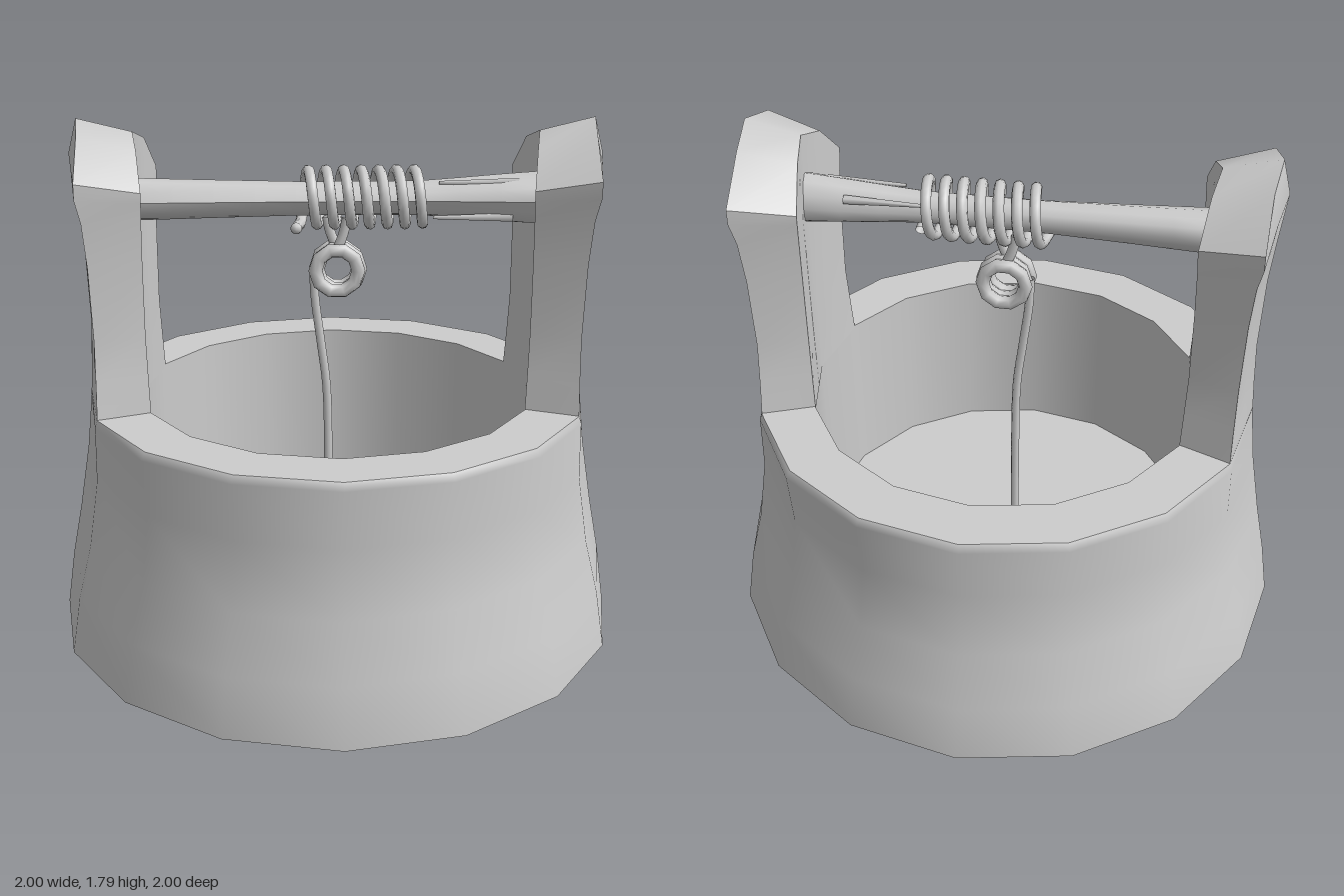
import * as THREE from 'three';
import { mergeVertices } from 'three/addons/utils/BufferGeometryUtils.js';

const SIDES = 16;
const stone = new THREE.MeshStandardMaterial({ color: 0xcccccc, side: THREE.DoubleSide });
stone.name = 'plain grey';

function add(group, name, geometry) {
  const mesh = new THREE.Mesh(geometry, stone);
  mesh.name = name;
  group.add(mesh);
  return mesh;
}

// Move every vertex by a rule
function warp(geometry, rule) {
  const p = geometry.attributes.position;
  const v = new THREE.Vector3();
  for (let i = 0; i < p.count; i++) {
    rule(v.fromBufferAttribute(p, i));
    p.setXYZ(i, v.x, v.y, v.z);
  }
  geometry.computeVertexNormals();
  return geometry;
}

function smooth(geometry) {
  geometry.deleteAttribute('uv');
  geometry.deleteAttribute('normal');
  const merged = mergeVertices(geometry, 1e-4);
  merged.computeVertexNormals();
  return merged;
}

const lathe = (points) =>
  new THREE.LatheGeometry(points.map(([r, y]) => new THREE.Vector2(r, y)), SIDES);

const rope = (points, radius, segments = 16) => new THREE.TubeGeometry(
  new THREE.CatmullRomCurve3(points.map((p) => new THREE.Vector3(...p))), segments, radius, 8);

// Sample a list of [key, value] pairs
function sample(pairs, k) {
  for (let i = 1; i < pairs.length; i++) {
    const [a, va] = pairs[i - 1], [b, vb] = pairs[i];
    if (k <= b) return va + (vb - va) * Math.max(0, (k - a) / (b - a));
  }
  return pairs[pairs.length - 1][1];
}

// Upright: a wall segment bent round the rim, waisted, with an arched top
function uprightGeometry() {
  const rows = [0.83, 0.95, 1.1, 1.35, 1.5];
  const halfAngle = [22.5, 21.4, 20.1, 20.3, 21, 21.6, 21.7];
  const outer = [0.87, 0.863, 0.857, 0.865, 0.88, 0.9, 0.9];
  return warp(new THREE.BoxGeometry(1, 1, 1, 1, 6, 4), (v) => {
    const row = Math.round((v.y + 0.5) * 6);
    const t = v.z * 2;
    const isOuter = v.x > 0;
    const top = 1.79 - 0.16 * t * t - (isOuter ? 0 : 0.045);
    const y = row < 5 ? rows[row] : row === 5 ? 1.5 + (top - 1.5) * 0.6 : top;
    let r = isOuter ? outer[row] : 0.684;
    if (isOuter && row === 6) r -= 0.03 * (1 - t * t);
    const a = THREE.MathUtils.degToRad(halfAngle[row]);
    // straight chords between the centre and the edge
    const x = r * (1 + (Math.cos(a) - 1) * Math.abs(t));
    v.set(x, y, r * Math.sin(a) * t);
  });
}

export function createModel() {
  const model = new THREE.Group();
  model.name = 'well';

  // Well wall: flared at the foot, straighter below the uprights
  const frontProfile = [[0, 1], [0.2, 0.965], [0.39, 0.905], [0.62, 0.872], [0.815, 0.886], [0.84, 0.87]];
  const sideProfile = [[0, 1], [0.2, 0.97], [0.39, 0.932], [0.62, 0.893], [0.815, 0.871], [0.84, 0.87]];
  const outer = lathe(frontProfile.map(([y, r]) => [r, y]));
  warp(outer, (v) => {
    const angle = Math.atan2(Math.abs(v.z), Math.abs(v.x));
    const w = Math.max(0, 1 - angle / (Math.PI / 4));
    const k = 1 + w * (sample(sideProfile, v.y) / sample(frontProfile, v.y) - 1);
    v.x *= k;
    v.z *= k;
  });
  add(model, 'outerWall', smooth(outer));
  add(model, 'rim', lathe([[0.87, 0.84], [0.685, 0.84]]));
  add(model, 'innerWall', lathe([[0.685, 0.84], [0.685, 0.21]]));
  const floor = add(model, 'wellFloor', new THREE.CircleGeometry(0.685, SIDES));
  floor.rotation.x = -Math.PI / 2;
  floor.position.y = 0.21;

  // Uprights
  for (const [name, turn] of [['leftUpright', 0], ['rightUpright', Math.PI]]) {
    add(model, name, uprightGeometry()).rotation.y = turn;
  }

  // Axle: a rough log, thicker at its ends
  const logRadius = [[-0.7, 0.072], [-0.4, 0.062], [-0.1, 0.054], [0.3, 0.056], [0.5, 0.074], [0.7, 0.09]];
  const log = new THREE.CylinderGeometry(1, 1, 1.38, 12, 10);
  log.rotateZ(-Math.PI / 2);
  warp(log, (v) => {
    const a = Math.atan2(v.z, v.y);
    const r = sample(logRadius, v.x) * (1 + 0.07 * Math.cos(a * 4 + v.x * 2));
    v.y = 1.517 + v.y * r;
    v.z = v.z * r + 0.005;
  });
  add(model, 'axle', log);

  // Splinters along the thick end
  for (const [y, z, x] of [[1.555, -0.062, 0.4], [1.575, 0.035, 0.48], [1.46, 0.055, 0.46]]) {
    const splinter = add(model, 'splinter', new THREE.CylinderGeometry(0.016, 0.006, 0.27, 5));
    splinter.rotation.z = -Math.PI / 2;
    splinter.position.set(x, y, z);
  }

  // Rope wound round the axle
  const coil = [];
  const turns = 7, steps = 10;
  for (let i = 0; i <= turns * steps; i++) {
    const a = (i / steps) * Math.PI * 2 + Math.PI;
    coil.push([-0.125 + 0.42 * (i / (turns * steps)),
      1.52 + 0.092 * Math.cos(a), 0.002 + 0.092 * Math.sin(a)]);
  }
  add(model, 'ropeCoil', rope(coil, 0.019, 168));
  add(model, 'ropeTail', rope([[-0.125, 1.428, 0], [-0.132, 1.43, 0.04], [-0.138, 1.43, 0.08]], 0.019, 6));
  add(model, 'ropeTailEnd', new THREE.SphereGeometry(0.02, 8, 6)).position.set(-0.138, 1.43, 0.08);

  // Rope eye below the axle
  for (const [x, y, z] of [[0, 1.27, 0.035], [0.008, 1.268, -0.002], [0.004, 1.27, -0.038]]) {
    add(model, 'ropeEye', new THREE.TorusGeometry(0.074, 0.024, 8, 10)).position.set(x, y, z);
  }
  for (const s of [-1, 1]) {
    add(model, 'ropeLink', rope([[s * 0.035, 1.45, s * 0.02], [s * 0.02, 1.39, s * 0.02], [0, 1.34, s * 0.02]], 0.017, 8));
  }

  // Hanging rope, through the floor
  add(model, 'hangingRope', rope([[-0.08, 1.28, 0], [-0.077, 1.18, 0], [-0.055, 1.0, 0],
    [-0.036, 0.84, 0], [-0.03, 0.5, 0], [-0.03, 0.1, 0]], 0.015, 24));

  return model;
}
